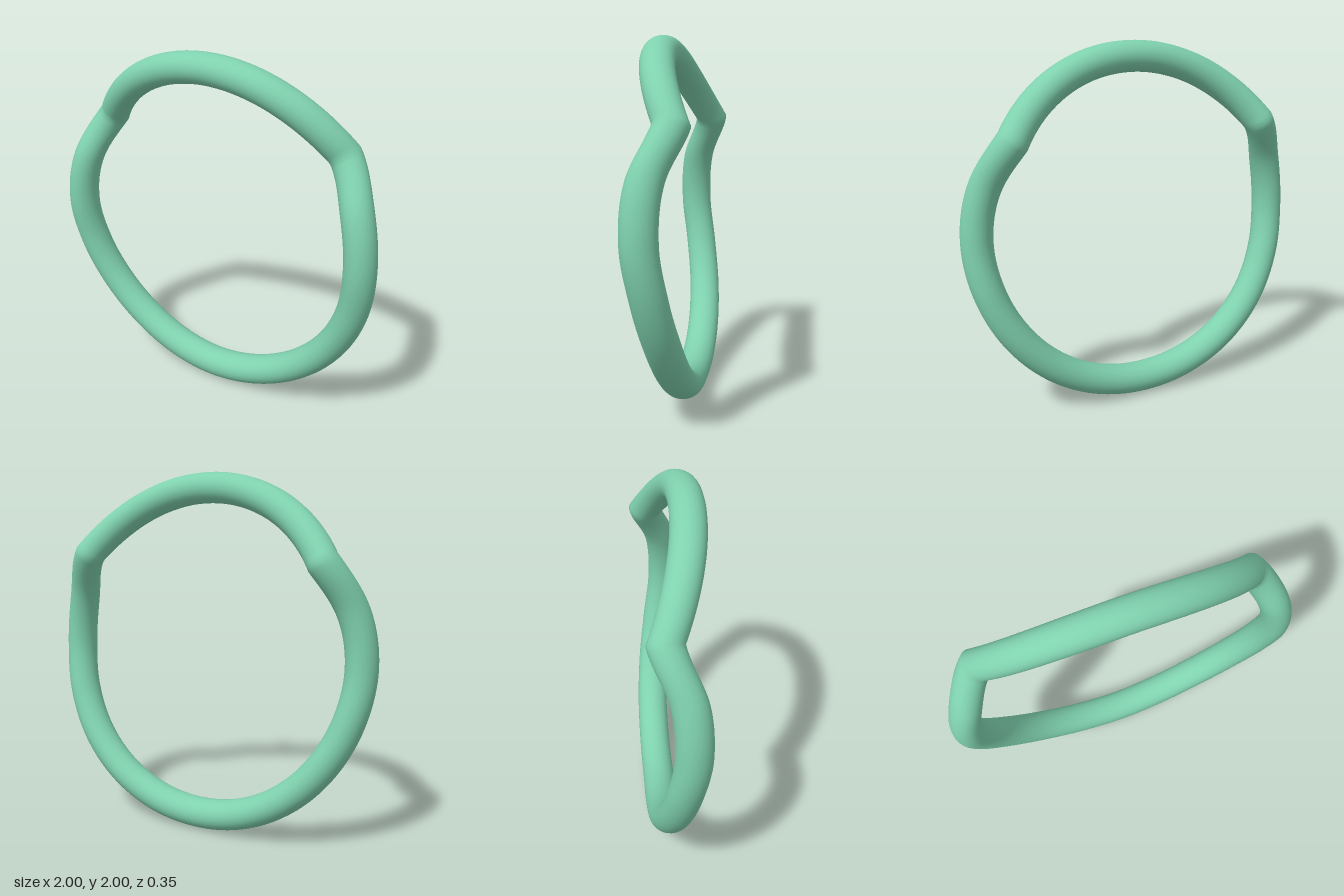
import * as THREE from 'three';
import { mergeVertices } from 'three/addons/utils/BufferGeometryUtils.js';

const RING_RADIUS = 0.914, TUBE_RADIUS = 0.085, TUBE_DEPTH = 0.093, CENTRE_Y = 1.003;
const KINK = Math.PI / 5; // height angle of the two kinks above the sides

// Depth of the lower run, evenly spaced in angle from the bottom up to a kink
const lowerDepths = [-0.064, -0.066, -0.06, -0.037, 0.003, 0.042, 0.023, -0.079];
const lowerCurve = new THREE.SplineCurve(lowerDepths.map((z, i) => new THREE.Vector2(i, z)));

// Forward offset of the ring's centre line, mirrored left and right
function depthAt(x, y) {
  const angle = Math.atan2(y, Math.abs(x));
  if (angle > KINK) {
    const fromTop = (Math.PI / 2 - angle) / (Math.PI / 2 - KINK);
    return 0.085 - 0.164 * Math.pow(Math.max(fromTop, 0), 2.2);
  }
  const t = (angle + Math.PI / 2) / (KINK + Math.PI / 2);
  return lowerCurve.getPoint(THREE.MathUtils.clamp(t, 0, 1)).y;
}

export function createModel() {
  const model = new THREE.Group();
  model.name = 'wavyRing';

  // Round ring, bent forward and back along its length
  const torus = new THREE.TorusGeometry(RING_RADIUS, TUBE_RADIUS, 32, 200);
  torus.deleteAttribute('uv');
  torus.deleteAttribute('normal');
  const geometry = mergeVertices(torus, 1e-5);
  const p = geometry.attributes.position;
  for (let i = 0; i < p.count; i++) {
    const x = p.getX(i), y = p.getY(i);
    p.setZ(i, p.getZ(i) * TUBE_DEPTH / TUBE_RADIUS + depthAt(x, y));
  }
  geometry.computeVertexNormals();

  const ring = new THREE.Mesh(geometry, new THREE.MeshStandardMaterial({ color: 0x7fd1ae }));
  ring.name = 'ring';
  ring.position.y = CENTRE_Y;
  model.add(ring);
  return model;
}
